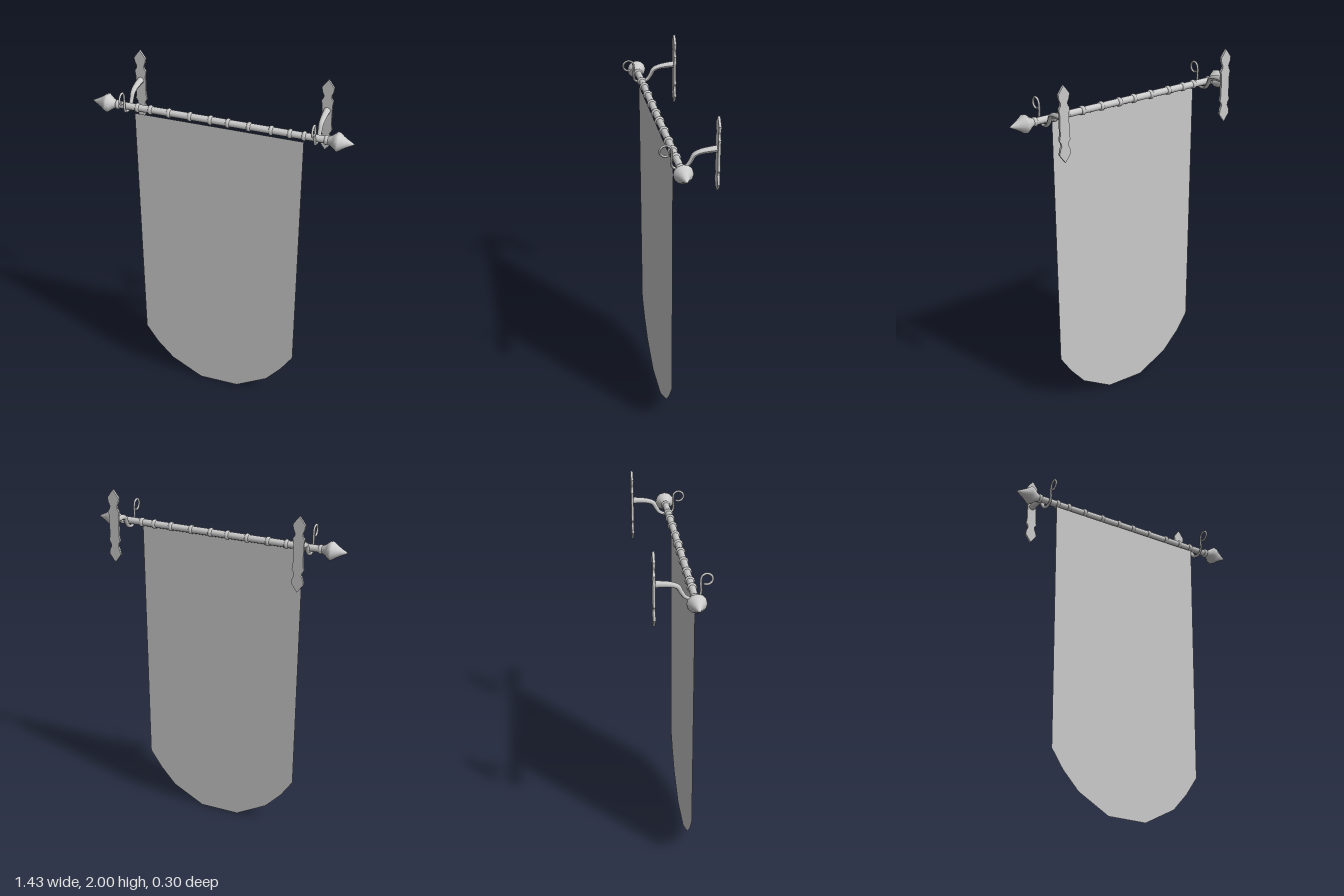
import * as THREE from 'three';

const ROD_Y = 1.765, ROD_Z = 0.052, BRACKET_X = 0.518;

export function createModel() {
  const group = new THREE.Group();
  const metal = new THREE.MeshStandardMaterial({ color: 0xcccccc });
  const cloth = new THREE.MeshStandardMaterial({ color: 0xcccccc, side: THREE.DoubleSide });

  const add = (name, geometry, material = metal, parent = group) => {
    const mesh = new THREE.Mesh(geometry, material);
    mesh.name = name;
    parent.add(mesh);
    return mesh;
  };

  // Turned part lying along the rod; profile is [radius, x], side -1 points it to -x
  const turned = (name, profile, x = 0, side = 1) => {
    const points = profile.map(([r, d]) => new THREE.Vector2(r, d));
    const mesh = add(name, new THREE.LatheGeometry(points, 12));
    mesh.rotation.z = -side * Math.PI / 2;
    mesh.position.set(x, ROD_Y, ROD_Z);
    return mesh;
  };

  // Rod with its rings
  turned('rod', [[0, -0.58], [0.019, -0.58], [0.019, 0.58], [0, 0.58]]);
  const ring = [[0.018, -0.01], [0.024, -0.008], [0.026, 0], [0.024, 0.008], [0.018, 0.01]];
  for (const x of [-0.457, -0.384, -0.281, -0.163, -0.05, 0.046, 0.16, 0.279, 0.379, 0.454]) {
    turned('rodRing', ring, x);
  }

  // Spear-shaped finials with a collar
  const finial = [[0.018, 0.565], [0.021, 0.58], [0.03, 0.598], [0.042, 0.612], [0.051, 0.625],
    [0.049, 0.636], [0.033, 0.658], [0.02, 0.68], [0.01, 0.7], [0, 0.717]];
  for (const side of [-1, 1]) {
    turned('finial', finial, 0, side);
    turned('finialCollar', ring, side * 0.57, side);
  }

  // Wall plate outline, right half from top to bottom
  const half = [[0, 2], [0.014, 1.982], [0.033, 1.955], [0.029, 1.93], [0.02, 1.91], [0.022, 1.895], [0.032, 1.88],
    [0.027, 1.85], [0.027, 1.745], [0.032, 1.715], [0.022, 1.7], [0.02, 1.685], [0.029, 1.665], [0.033, 1.64], [0.014, 1.613], [0, 1.595]];
  const outline = [...half, ...half.slice(1, -1).reverse().map(([x, y]) => [-x, y])];
  const plateShape = new THREE.Shape(outline.map(([x, y]) => new THREE.Vector2(x, y)));
  const plateGeometry = new THREE.ExtrudeGeometry(plateShape, { depth: 0.013, bevelEnabled: false });
  plateGeometry.translate(0, 0, -0.15);

  // Tapered arm: out from the plate, under the rod and up into a curl
  const path = [[-0.143, 1.826], [-0.1, 1.824], [-0.055, 1.818], [-0.025, 1.805], [-0.008, 1.775], [0.012, 1.748],
    [0.05, 1.736], [0.08, 1.748], [0.088, 1.775], [0.086, 1.805]];
  for (let i = 0; i <= 8; i++) {
    const a = Math.PI - i * 0.68;
    path.push([0.116 + 0.029 * Math.cos(a), 1.838 + 0.029 * Math.sin(a)]);
  }
  const curve = new THREE.CatmullRomCurve3(path.map(([z, y]) => new THREE.Vector3(0, y, z)));
  const steps = 64, sides = 8;
  const armGeometry = new THREE.TubeGeometry(curve, steps, 1, sides);
  const position = armGeometry.attributes.position;
  const v = new THREE.Vector3();
  for (let i = 0; i <= steps; i++) {
    const t = i / steps;
    const center = curve.getPointAt(t);
    const radius = i === steps ? 0 : THREE.MathUtils.lerp(0.019, 0.006, Math.min(1, t / 0.55));
    for (let j = 0; j <= sides; j++) {
      const k = i * (sides + 1) + j;
      v.fromBufferAttribute(position, k).sub(center).multiplyScalar(radius).add(center);
      position.setXYZ(k, v.x, v.y, v.z);
    }
  }
  armGeometry.computeVertexNormals();

  for (const side of [-1, 1]) {
    const bracket = new THREE.Group();
    bracket.name = side > 0 ? 'leftBracket' : 'rightBracket';
    bracket.position.x = side * BRACKET_X;
    add('wallPlate', plateGeometry, metal, bracket);
    add('curledArm', armGeometry, metal, bracket);
    group.add(bracket);
  }

  // Flat hanging cloth with a rounded lower end
  const clothShape = new THREE.Shape([[-0.469, 1.738], [-0.458, 0.307], [-0.39, 0.204], [-0.296, 0.103], [-0.116, 0.002],
    [0.111, 0.002], [0.293, 0.103], [0.38, 0.204], [0.448, 0.307], [0.457, 1.738]].map(([x, y]) => new THREE.Vector2(x, y)));
  add('banner', new THREE.ShapeGeometry(clothShape), cloth).position.z = 0.067;

  return group;
}
